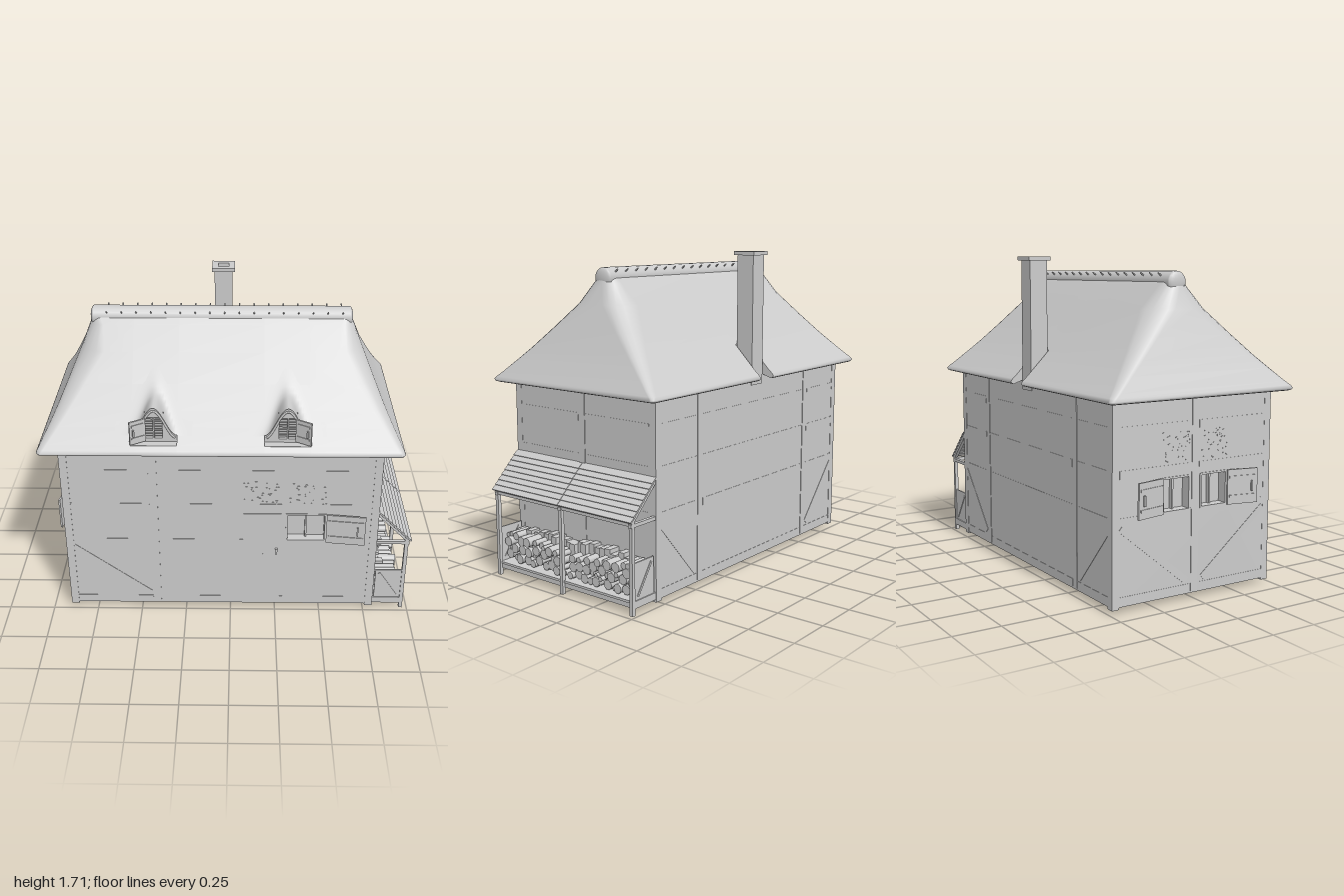
import * as THREE from 'three';

const mat = new THREE.MeshStandardMaterial({ color: 0xcccccc, side: THREE.DoubleSide });

function add(parent, name, geo, x = 0, y = 0, z = 0) {
  const m = new THREE.Mesh(geo, mat);
  m.name = name;
  m.position.set(x, y, z);
  parent.add(m);
  return m;
}
// Box given by its limits
const box = (p, name, x0, x1, y0, y1, z0, z1) =>
  add(p, name, new THREE.BoxGeometry(x1 - x0, y1 - y0, z1 - z0), (x0 + x1) / 2, (y0 + y1) / 2, (z0 + z1) / 2);
// Straight bar between two points in the xy plane of its parent
function bar(p, name, [x0, y0], [x1, y1], width, z0, z1) {
  const m = add(p, name, new THREE.BoxGeometry(Math.hypot(x1 - x0, y1 - y0), width, z1 - z0),
    (x0 + x1) / 2, (y0 + y1) / 2, (z0 + z1) / 2);
  m.rotation.z = Math.atan2(y1 - y0, x1 - x0);
}
function group(p, name, x, y, z, ry = 0) {
  const g = new THREE.Group();
  g.name = name;
  g.position.set(x, y, z);
  g.rotation.y = ry;
  p.add(g);
  return g;
}
let seed = 7;
const rnd = () => (seed = (seed * 16807) % 2147483647) / 2147483647;
const rectPath = (C, u0, u1, v0, v1) =>
  new C([[u0, v0], [u1, v0], [u1, v1], [u0, v1]].map(([x, y]) => new THREE.Vector2(x, y)));
function mesh(pos, idx) {
  const g = new THREE.BufferGeometry();
  g.setAttribute('position', new THREE.Float32BufferAttribute(pos, 3));
  g.setIndex(idx);
  g.computeVertexNormals();
  return g;
}

// Wall panel with openings; local z = 0 is the outer face
function wall(p, name, x, z, ry, half, holes = []) {
  const g = group(p, name, x, 0, z, ry);
  const s = rectPath(THREE.Shape, -half, half, 0.035, 1.05);
  s.holes = holes.map((h) => rectPath(THREE.Path, ...h));
  add(g, name + 'Panel', new THREE.ExtrudeGeometry(s, { depth: 0.06, bevelEnabled: false }), 0, 0, -0.06);
  return g;
}
// Hinged shutter; dir is the side it swings to
function shutter(p, u, v0, v1, width, dir, angle) {
  const g = group(p, 'shutter', u, 0, 0.004, -dir * angle);
  const e = dir * width, a = Math.min(0, e), b = Math.max(0, e), h = v1 - v0;
  box(g, 'shutterBoard', a, b, v0, v1, 0, 0.01);
  for (const t of [0.2, 0.75]) box(g, 'shutterBatten', a + 0.01, b - 0.01, v0 + h * t, v0 + h * t + 0.012, 0.01, 0.014);
  box(g, 'shutterLatch', e * 0.8 - 0.004, e * 0.8 + 0.004, v0 + h * 0.35, v0 + h * 0.65, 0.01, 0.02);
}
function windowFrame(p, u0, u1, v0, v1) {
  const t = 0.01;
  box(p, 'windowSill', u0, u1, v0, v0 + t, -0.05, 0.004);
  box(p, 'windowHead', u0, u1, v1 - t, v1, -0.05, 0.004);
  for (const u of [u0, u1 - t]) box(p, 'windowJamb', u, u + t, v0, v1, -0.05, 0.004);
  const m = (u0 + u1) / 2;
  box(p, 'windowMullion', m - 0.005, m + 0.005, v0, v1, -0.05, -0.03);
}
// Chips of exposed masonry
function chips(p, u0, u1, v0, v1) {
  for (let i = 0; i < 60; i++) {
    const u = u0 + rnd() * (u1 - u0), v = v0 + rnd() * (v1 - v0);
    box(p, 'masonryChip', u, u + 0.005 + rnd() * 0.008, v, v + 0.004, -0.002, 0.002);
  }
}
// Timber frame: rails, posts and corner braces
function timbers(p, half, posts, braces) {
  for (const v of [0.06, 0.45, 0.68, 0.89]) {
    const stops = [-half, ...posts, half];
    for (let i = 1; i < stops.length; i++) box(p, 'rail', stops[i - 1] + 0.025, stops[i] - 0.025, v - 0.02, v + 0.02, -0.01, 0.0015);
  }
  for (const u of posts) box(p, 'post', u - 0.02, u + 0.02, 0.04, 1.05, -0.01, 0.003);
  for (const [u0, u1] of braces) bar(p, 'brace', [u0, 0.42], [u1, 0.1], 0.035, -0.01, 0.002);
}

// Roof rings: height, inset at the ends, half depth
const LEVELS = [[1.05, 0.1, 0.48], [1.03, 0.02, 0.54], [1.035, 0.006, 0.55], [1.045, 0, 0.556], [1.06, 0.008, 0.545],
  [1.08, 0.02, 0.522], [1.15, 0.06, 0.452], [1.215, 0.095, 0.388], [1.32, 0.145, 0.292], [1.45, 0.205, 0.178],
  [1.56, 0.25, 0.08], [1.61, 0.268, 0.03]];
const DORMERS = [-0.395, 0.295], DH = 0.12, NOTCH = [-0.11, 0.01], NOTCH_TOP = 7;
function roofY(z) {
  for (let i = 4; i < LEVELS.length; i++) {
    const [y0, , z0] = LEVELS[i - 1], [y1, , z1] = LEVELS[i];
    if (z >= z1) return y0 + ((z0 - z) / (z0 - z1)) * (y1 - y0);
  }
  return 1.61;
}
function roofGeometry() {
  const pos = [], idx = [], front = DORMERS.flatMap((c) => [c - DH, c + DH]);
  let n = 0;
  for (const [y, inset, hz] of LEVELS) {
    const xl = -1 + inset, xr = 0.9 - inset, r = Math.min(0.02 + (y - 1.03) * 0.25, hz * 0.9);
    const ring = front.map((x) => [x, hz]);
    const corner = (cx, cz, a) => {
      for (let k = 0; k <= 5; k++) {
        const t = ((a - k * 18) * Math.PI) / 180;
        ring.push([cx + r * Math.cos(t), cz + r * Math.sin(t)]);
      }
    };
    corner(xr - r, hz - r, 90);
    corner(xr - r, r - hz, 0);
    ring.push([NOTCH[1], -hz], [NOTCH[0], -hz]);
    corner(xl + r, r - hz, -90);
    corner(xl + r, hz - r, 180);
    n = ring.length;
    ring.forEach(([x, z]) => pos.push(x, y, z));
  }
  for (let l = 0; l < LEVELS.length - 1; l++) for (let i = 0; i < n; i++) {
    if ((i === 0 || i === 2) && l >= 5 && l < 8) continue; // dormer openings
    if (i === 16 && l < NOTCH_TOP) continue; // chimney notch
    const a = l * n + i, b = l * n + ((i + 1) % n);
    idx.push(a, b, b + n, a, b + n, a + n);
  }
  return mesh(pos, idx);
}

// Eyebrow dormer; side is the way its shutter swings
const hoodY = (x, z) => {
  const a = roofY(z), b = 1.06 + 0.22 * Math.exp(-((x / 0.09) ** 2));
  return (a + b + Math.hypot(a - b, 0.03)) / 2 - 0.002;
};
function dormer(p, cx, side) {
  const g = group(p, 'dormer', cx, 0, 0), pos = [], idx = [], nx = 32, nz = 14;
  for (let j = 0; j <= nz; j++) for (let i = 0; i <= nx; i++) {
    const x = -0.2 + (0.4 * i) / nx, z = 0.485 - (0.32 * j) / nz;
    pos.push(x, hoodY(x, z), z);
    if (i < nx && j < nz) {
      const a = j * (nx + 1) + i, b = a + nx + 1;
      idx.push(a, a + 1, b + 1, a, b + 1, b);
    }
  }
  add(g, 'dormerHood', mesh(pos, idx));
  const s = new THREE.Shape();
  s.moveTo(0.13, 1.06);
  for (let x = 0.13; x > -0.131; x -= 0.01) s.lineTo(x, hoodY(x, 0.485) - 0.002);
  s.lineTo(-0.13, 1.06);
  s.holes.push(rectPath(THREE.Path, -0.045, 0.045, 1.1, 1.22));
  add(g, 'dormerFront', new THREE.ExtrudeGeometry(s, { depth: 0.02, bevelEnabled: false }), 0, 0, 0.455);
  const arch = [];
  for (let x = -0.11; x < 0.111; x += 0.01) arch.push(new THREE.Vector3(x, hoodY(x, 0.485) - 0.022, 0.476));
  add(g, 'dormerArchTrim', new THREE.TubeGeometry(new THREE.CatmullRomCurve3(arch), 40, 0.006, 6));
  box(g, 'dormerSill', -DH, DH, 1.065, 1.08, 0.44, 0.52);
  box(g, 'dormerPane', -0.05, 0.05, 1.09, 1.23, 0.43, 0.435);
  for (let i = 0; i < 8; i++) box(g, 'louvre', -0.045, 0.045, 1.107 + i * 0.014, 1.113 + i * 0.014, 0.445, 0.465);
  box(g, 'dormerMullion', -0.004, 0.004, 1.1, 1.22, 0.455, 0.477);
  shutter(group(g, 'dormerShutter', 0, 0, 0.475), side * 0.045, 1.09, 1.22, 0.09, side, 0.55);
}

// Lean-to shelter stacked with firewood on the right-hand end
function woodShed(p) {
  const g = group(p, 'woodShed', 0, 0, 0);
  for (const z of [0.465, -0.005, -0.475]) {
    box(g, 'shedPost', 0.955, 0.975, 0, 0.46, z - 0.01, z + 0.01);
    box(g, 'shedTie', 0.8, 0.98, 0.44, 0.458, z - 0.01, z + 0.01);
    bar(g, 'shedRafter', [0.8, 0.635], [0.975, 0.46], 0.018, z - 0.01, z + 0.01);
    box(g, 'shedFloorJoist', 0.8, 0.96, 0.035, 0.06, z - 0.01, z + 0.01);
  }
  box(g, 'shedPlate', 0.955, 0.975, 0.445, 0.465, -0.485, 0.475);
  box(g, 'shedFloor', 0.8, 0.965, 0.06, 0.072, -0.485, 0.475);
  box(g, 'shedFloorBeam', 0.94, 0.96, 0.035, 0.06, -0.485, 0.475);
  for (const z of [0.465, -0.475]) {
    box(g, 'shedSide', 0.81, 0.955, 0.07, 0.26, z - 0.004, z + 0.004);
    bar(g, 'shedSideBrace', [0.83, 0.24], [0.93, 0.09], 0.012, z - 0.008, z + 0.008);
  }
  // overlapping roof boards in two bays
  for (let i = 0; i < 8; i++) for (const [z0, z1] of [[-0.49, -0.003], [0, 0.485]]) {
    const x = 0.812 + i * 0.0226, y = 0.64 - i * 0.0226;
    bar(g, 'shedRoofBoard', [x - 0.014, y + 0.011], [x + 0.018, y - 0.013], 0.008, z0, z1);
  }
  // logs
  const logs = [];
  for (let k = 0; k < 6000; k++) {
    const r = 0.026 - 0.016 * Math.min(1, k / 3500) * (0.5 + 0.5 * rnd());
    const z = -0.455 + rnd() * 0.9, top = 0.2 + 0.04 * Math.min(1, Math.abs(z) * 3);
    const y = 0.073 + r + rnd() * (top - 0.073 - 2 * r);
    if (Math.abs(z + 0.005) < r + 0.012 || logs.some((o) => Math.hypot(o[0] - z, o[1] - y) < (o[2] + r) * 0.92)) continue;
    logs.push([z, y, r]);
    const len = 0.11 + rnd() * 0.025;
    add(g, 'log', new THREE.CylinderGeometry(r, r, len, 10), 0.81 + len / 2, y, z).rotation.z = Math.PI / 2;
  }
  for (let i = 0; i < 22; i++) {
    const z = -0.45 + i * 0.041;
    box(g, 'splitLog', 0.802, 0.84 + rnd() * 0.04, 0.08, 0.225 + rnd() * 0.035, z, z + 0.036);
  }
}

export function createModel() {
  const root = new THREE.Group();
  root.name = 'thatchedCottage';
  box(root, 'houseCore', -0.845, 0.745, 0.04, 1.05, -0.43, 0.425);

  // Front wall, with x offset by 0.05 in its own frame
  const win = [0.35, 0.57, 0.46, 0.64];
  const front = wall(root, 'frontWall', -0.05, 0.48, 0, 0.85, [win]);
  timbers(front, 0.85, [-0.36], [[-0.82, -0.4]]);
  windowFrame(front, ...win);
  shutter(front, 0.57, 0.46, 0.64, 0.21, 1, 0.12);
  chips(front, 0.12, 0.31, 0.69, 0.84);
  chips(front, 0.36, 0.56, 0.69, 0.84);
  box(front, 'door', 0.12, 0.325, 0.08, 0.64, -0.01, 0.006);
  box(front, 'doorSeam', 0.228, 0.232, 0.22, 0.38, 0, 0.009);
  box(front, 'doorHandle', 0.295, 0.307, 0.38, 0.415, 0, 0.018);

  const back = wall(root, 'backWall', -0.05, -0.485, Math.PI, 0.85);
  timbers(back, 0.85, [-0.5, 0.5], [[-0.82, -0.54], [0.82, 0.54]]);

  const pair = [[-0.2, -0.03, 0.46, 0.64], [0.03, 0.2, 0.46, 0.64]];
  const left = wall(root, 'windowEndWall', -0.9, 0, -Math.PI / 2, 0.45, pair);
  timbers(left, 0.47, [0], [[-0.44, -0.05], [0.44, 0.05]]);
  pair.forEach((w, i) => {
    const d = i ? 1 : -1;
    windowFrame(left, ...w);
    shutter(left, d * 0.2, 0.46, 0.64, 0.17, d, 0.2);
    chips(left, i ? 0.03 : -0.2, i ? 0.2 : -0.03, 0.71, 0.86);
  });
  const right = wall(root, 'shedEndWall', 0.8, 0, Math.PI / 2, 0.45);
  timbers(right, 0.47, [0], []);

  // Corner posts and ground sills
  for (const x of [-0.9, 0.76]) for (const z of [-0.487, 0.443])
    box(root, 'cornerPost', x - 0.001, x + 0.041, 0.02, 1.05, z, z + 0.04);
  for (const z of [-0.484, 0.449]) box(root, 'longSill', -0.9, 0.8, 0.03, 0.06, z, z + 0.03);
  for (const x of [-0.899, 0.769]) box(root, 'endSill', x, x + 0.03, 0.03, 0.06, -0.48, 0.475);

  // Thatched roof with ridge roll, pegs and dormers
  add(root, 'thatchRoof', roofGeometry());
  const cheek = new THREE.Shape([...LEVELS.slice(0, NOTCH_TOP + 1).map(([y, , z]) => new THREE.Vector2(-z, y)), new THREE.Vector2(-0.388, 1.05)]);
  for (const x of NOTCH) add(root, 'roofNotchSide', new THREE.ShapeGeometry(cheek), x).rotation.y = -Math.PI / 2;
  const ridge = add(root, 'ridgeRoll', new THREE.CylinderGeometry(0.055, 0.055, 1.36, 20), -0.052, 1.582, -0.003);
  ridge.rotation.z = Math.PI / 2;
  for (const s of [-1, 1]) {
    const end = add(root, 'ridgeEnd', new THREE.SphereGeometry(0.055, 16, 10), -0.052 + s * 0.68, 1.582, -0.003);
    end.scale.x = 0.35;
    for (let i = 0; i < 17; i++) {
      const peg = add(root, 'ridgePeg', new THREE.CylinderGeometry(0.004, 0.004, 0.03, 5), -0.66 + i * 0.078, 1.618, -0.003 + s * 0.05);
      peg.rotation.x = s * 0.9;
    }
  }
  DORMERS.forEach((x, i) => dormer(root, x, i ? 1 : -1));

  // Chimney with hollow cap
  const flue = rectPath(THREE.Shape, -0.05, 0.05, -0.05, 0.05);
  const cap = rectPath(THREE.Shape, -0.064, 0.064, -0.064, 0.064);
  for (const s of [flue, cap]) s.holes.push(rectPath(THREE.Path, -0.03, 0.03, -0.03, 0.03));
  for (const [name, s, y, h] of [['chimney', flue, 1, 0.69], ['chimneyCap', cap, 1.69, 0.02]])
    add(root, name, new THREE.ExtrudeGeometry(s, { depth: h, bevelEnabled: false }), -0.05, y, -0.44).rotation.x = -Math.PI / 2;

  woodShed(root);
  return root;
}
